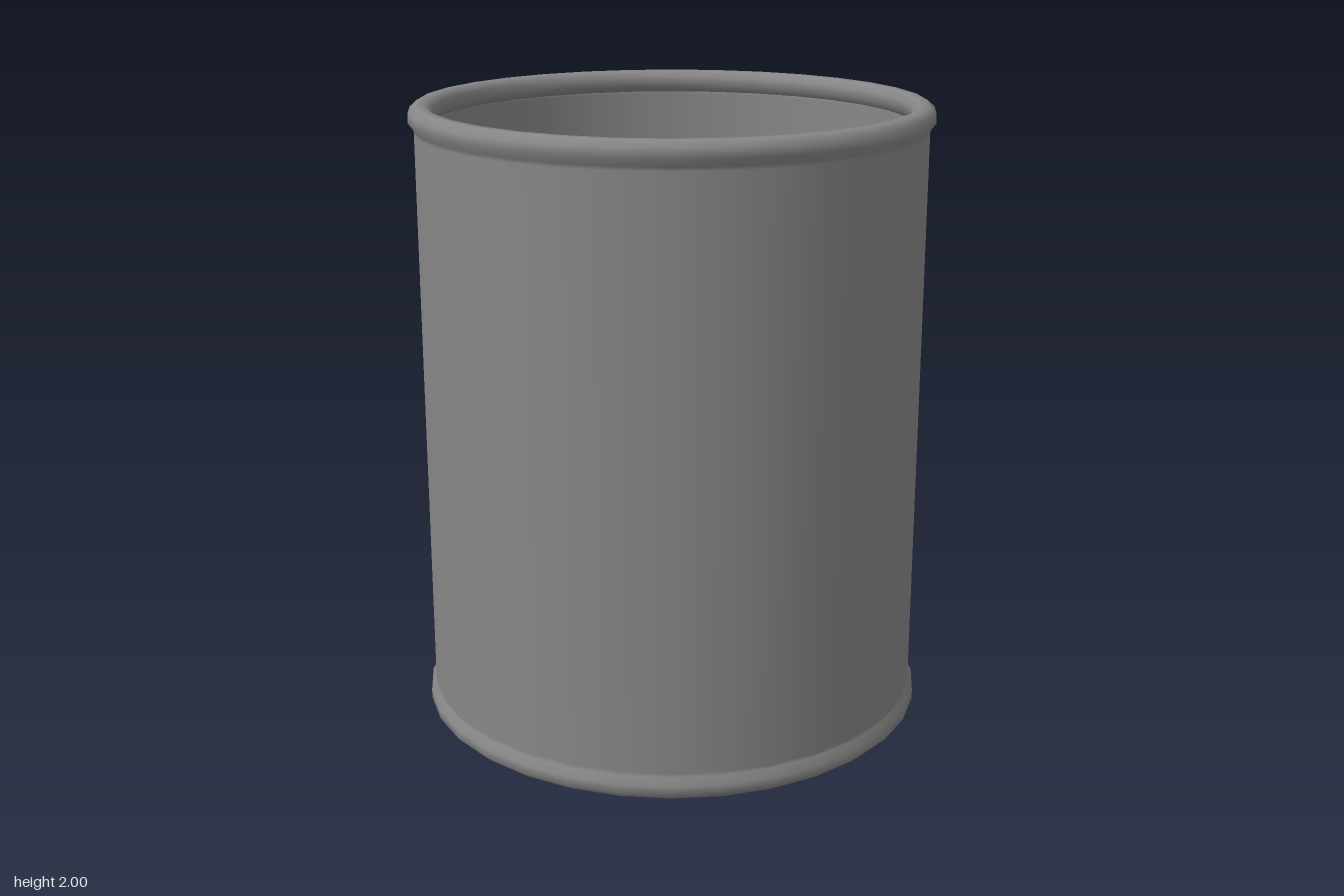
import * as THREE from 'three';

const SIDES = 32;
const START = Math.PI / SIDES / 2; // small twist of the facets about the axis
const HEIGHT = 2;

export function createModel() {
  const group = new THREE.Group();
  group.name = 'openCan';
  const material = new THREE.MeshStandardMaterial({ color: 0x878787, side: THREE.DoubleSide });

  const add = (name, geometry) => {
    const mesh = new THREE.Mesh(geometry, material);
    mesh.name = name;
    group.add(mesh);
    return mesh;
  };

  // Lower rolled rim, from the inside round to the outside and into the wall
  const lower = [
    [0.805, 0.073], [0.77, 0.073], [0.748, 0.052], [0.748, 0.02], [0.77, 0],
    [0.8, 0], [0.822, 0.02], [0.822, 0.05], [0.805, 0.073], [0.805, 0.085],
  ];
  // The upper rim mirrors it, so wall and rims form one smooth skin
  const upper = lower.map(([r, y]) => [r, HEIGHT - y]).reverse();
  const profile = [...lower, ...upper].map(([r, y]) => new THREE.Vector2(r, y));
  add('wallWithRims', new THREE.LatheGeometry(profile, SIDES, START));

  // Floor disc inside the lower rim
  const floor = new THREE.CircleGeometry(0.785, SIDES, START);
  floor.rotateX(-Math.PI / 2);
  add('floor', floor).position.y = 0.035;

  return group;
}
